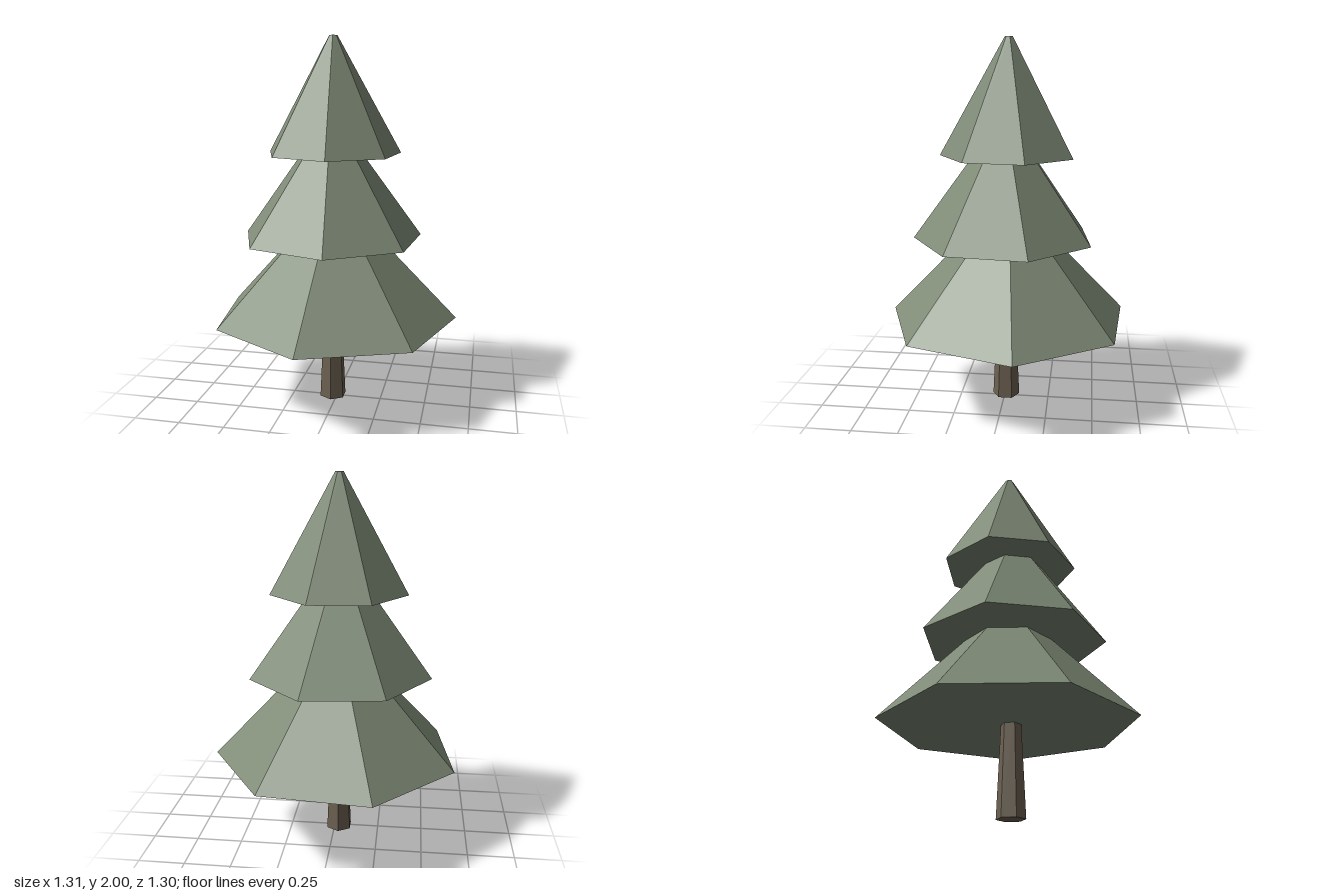
import * as THREE from 'three';

export function createModel() {
  const tree = new THREE.Group();
  tree.name = 'pineTree';

  const foliage = new THREE.MeshStandardMaterial({ color: 0x7f8b77 });
  foliage.name = 'sage green';
  const bark = new THREE.MeshStandardMaterial({ color: 0x6d6252 });
  bark.name = 'bark brown';

  // Faceted tapered column standing on y, turned about its own axis
  function taper(name, material, sides, { x, z, y, height, bottom, top, turn }) {
    const faceted = new THREE.CylinderGeometry(top, bottom, height, sides).toNonIndexed();
    faceted.computeVertexNormals();
    const mesh = new THREE.Mesh(faceted, material);
    mesh.name = name;
    mesh.position.set(x, y + height / 2, z);
    mesh.rotation.y = turn;
    tree.add(mesh);
  }

  // Six-sided trunk, ending inside the lowest tier
  taper('trunk', bark, 6, { x: -0.025, z: -0.007, y: 0, height: 0.52, bottom: 0.075, top: 0.051, turn: 0 });

  // Three seven-sided tiers of branches, each slightly off centre and turned
  taper('lowerTier', foliage, 7, { x: -0.017, z: -0.022, y: 0.475, height: 0.68, bottom: 0.675, top: 0.025, turn: -0.09 });
  taper('middleTier', foliage, 7, { x: -0.03, z: 0.003, y: 0.93, height: 0.65, bottom: 0.5, top: 0.025, turn: 0.122 });
  taper('upperTier', foliage, 7, { x: -0.025, z: -0.02, y: 1.385, height: 0.615, bottom: 0.37, top: 0.022, turn: 0.098 });

  return tree;
}
